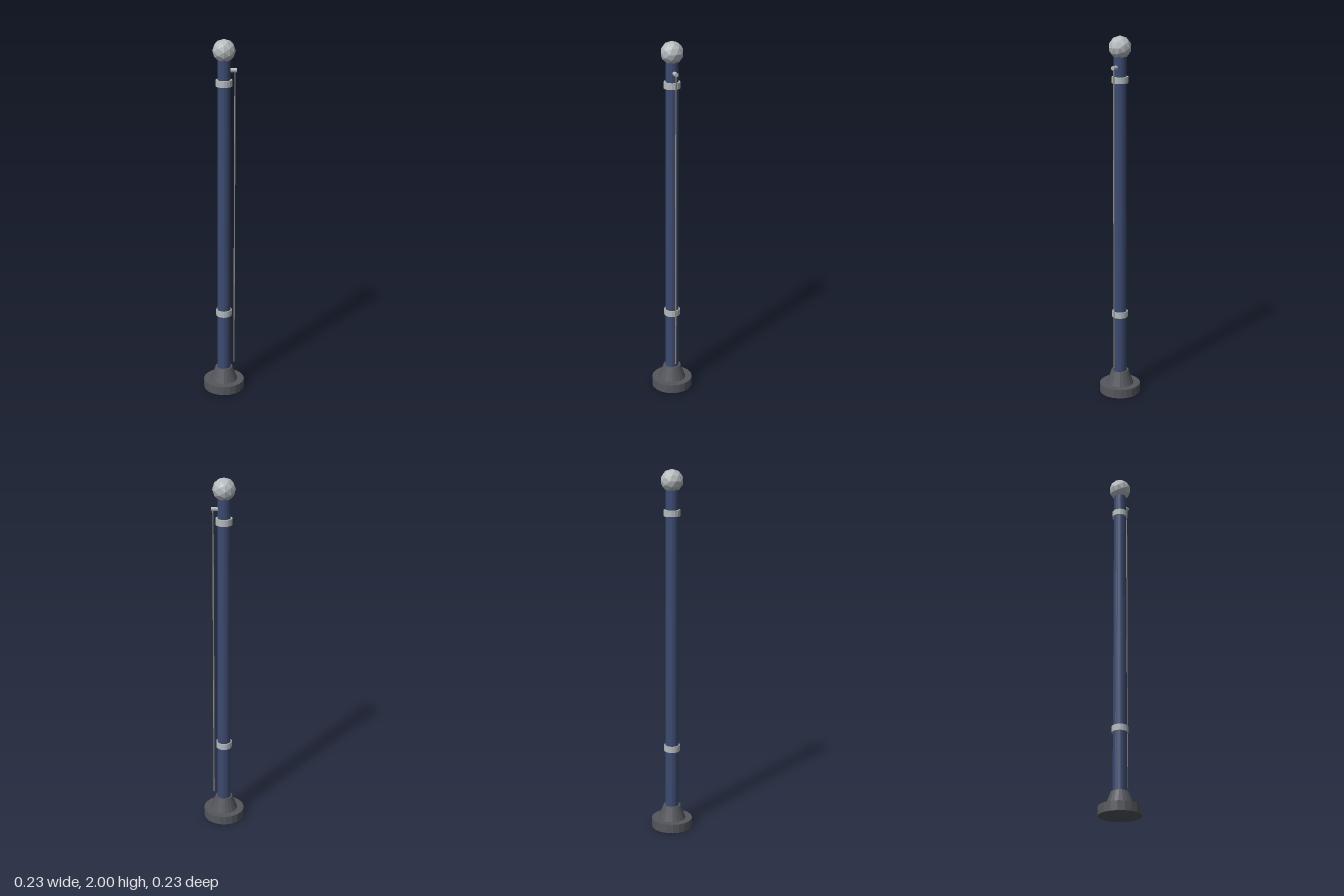
import * as THREE from 'three';

export function createModel() {
  const group = new THREE.Group();
  const mat = (color) => new THREE.MeshStandardMaterial({ color, flatShading: true });
  const iron = mat(0x55575d), navy = mat(0x3c4a70), silver = mat(0xb4babd), cord = mat(0x8c8b7c);

  const add = (name, geometry, material, x, y) => {
    const mesh = new THREE.Mesh(geometry, material);
    mesh.name = name;
    mesh.position.set(x, y, 0);
    group.add(mesh);
    return mesh;
  };
  // Upright cylinder given by its bottom and top heights
  const post = (name, rTop, rBottom, y0, y1, sides, material, x = 0) =>
    add(name, new THREE.CylinderGeometry(rTop, rBottom, y1 - y0, sides), material, x, (y0 + y1) / 2);

  // Stepped foot
  post('basePlate', 0.114, 0.114, 0, 0.05, 20, iron);
  post('baseCone', 0.048, 0.076, 0.05, 0.127, 20, iron);

  // Slightly tapered pole with two collars
  post('pole', 0.034, 0.038, 0.1, 1.9, 16, navy);
  for (const [name, y] of [['lowerCollar', 0.465], ['upperCollar', 1.77]]) {
    post(name, 0.044, 0.044, y - 0.017, y + 0.017, 16, silver);
  }

  // Faceted ball on top
  add('finial', new THREE.IcosahedronGeometry(0.061, 1), silver, 0, 1.939);

  // Pulley peg and hanging rope on the left side
  const peg = add('pulley', new THREE.CylinderGeometry(0.011, 0.011, 0.034, 8), silver, 0.05, 1.837);
  peg.rotation.z = Math.PI / 2;
  post('rope', 0.004, 0.004, 0.157, 1.832, 6, cord, 0.057);

  return group;
}
